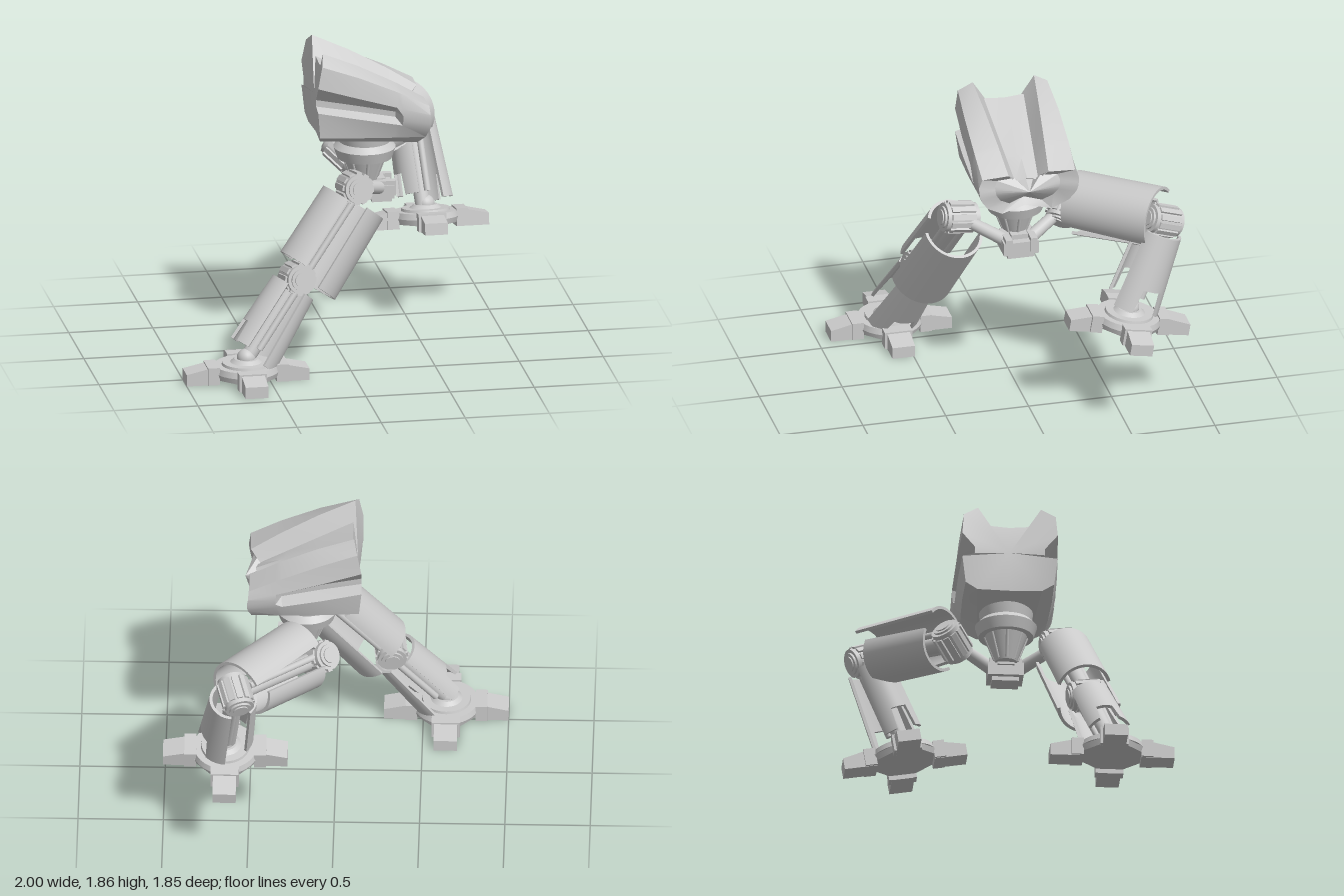
import * as THREE from 'three';
import { toCreasedNormals } from 'three/addons/utils/BufferGeometryUtils.js';

const V = (x, y, z) => new THREE.Vector3(x, y, z);
const material = new THREE.MeshStandardMaterial({ color: 0xcccccc, side: THREE.DoubleSide });

function add(parent, name, geometry, x = 0, y = 0, z = 0) {
  const mesh = new THREE.Mesh(geometry, material);
  mesh.name = name;
  mesh.position.set(x, y, z);
  parent.add(mesh);
  return mesh;
}

// Skin closed rings of points, with a fan at each end
function loft(rings, startTip, endTip) {
  const pos = [];
  const tri = (...pts) => pts.forEach(p => pos.push(p.x, p.y, p.z));
  const n = rings[0].length;
  const middle = ring => ring.reduce((s, p) => s.add(p), V(0, 0, 0)).divideScalar(n);
  const first = rings[0], last = rings[rings.length - 1];
  const a = startTip || middle(first), b = endTip || middle(last);
  for (let j = 0; j < n; j++) {
    const k = (j + 1) % n;
    for (let s = 0; s < rings.length - 1; s++) {
      const r = rings[s], q = rings[s + 1];
      tri(r[j], r[k], q[k]);
      tri(r[j], q[k], q[j]);
    }
    tri(a, first[k], first[j]);
    tri(b, last[j], last[k]);
  }
  const g = new THREE.BufferGeometry();
  g.setAttribute('position', new THREE.Float32BufferAttribute(pos, 3));
  return toCreasedNormals(g, 0.5);
}

function rod(parent, name, from, to, r0, r1 = r0) {
  const d = to.clone().sub(from);
  const mesh = add(parent, name, new THREE.CylinderGeometry(r1, r0, d.length(), 20));
  mesh.position.copy(from).addScaledVector(d, 0.5);
  mesh.quaternion.setFromUnitVectors(V(0, 1, 0), d.normalize());
}

// Curved armour plate around the local y axis, with an optional notch in its lower edge
function shell(parent, name, { side, off, r0, r1, arc, top, bottom, notch = 0, notchArc = 0.5 }) {
  const rings = [], thick = 0.018;
  const angles = Array.from({ length: 25 }, (_, i) => -arc + (2 * arc * i) / 24);
  for (const a of angles) {
    const low = bottom - (Math.abs(a) < notchArc ? notch : 0);
    const rLow = r0 + (r1 - r0) * (low - top) / (bottom - top);
    const at = (r, y) => V(off + r * Math.cos(a), -y, r * Math.sin(a));
    rings.push([at(r0 - thick, top), at(rLow - thick, low), at(rLow, low), at(r0, top)]);
  }
  const mesh = add(parent, name, loft(rings));
  if (side < 0) mesh.rotation.y = Math.PI;
  return mesh;
}

// Ribbed drum joint with stepped end caps, axis along local z
function joint(parent, name) {
  const g = new THREE.Group();
  g.name = name;
  const disc = (part, r, len) => add(g, part, new THREE.CylinderGeometry(r, r, len, 28)).rotation.x = Math.PI / 2;
  disc('drum', 0.085, 0.2);
  disc('endCap', 0.065, 0.225);
  disc('axle', 0.045, 0.24);
  for (let i = 0; i < 12; i++) {
    const a = (i * Math.PI) / 6;
    const rib = add(g, 'rib', new THREE.BoxGeometry(0.02, 0.032, 0.15), 0.086 * Math.cos(a), 0.086 * Math.sin(a), 0);
    rib.rotation.z = a;
  }
  parent.add(g);
}

// Group at the start of a bone: local -y runs along it, local +x faces the front plate
function bone(parent, name, from, to, facing) {
  const up = from.clone().sub(to).normalize();
  const x = facing.clone().addScaledVector(up, -facing.dot(up)).normalize();
  const g = new THREE.Group();
  g.name = name;
  g.position.copy(from);
  g.quaternion.setFromRotationMatrix(new THREE.Matrix4().makeBasis(x, up, x.clone().cross(up)));
  parent.add(g);
  const len = from.distanceTo(to);
  rod(g, 'mainStrut', V(0, 0, 0), V(0, -len, 0), 0.05, 0.045);
  for (const s of [-1, 1]) rod(g, 'piston', V(0.02, -0.07, s * 0.06), V(0.02, -len + 0.08, s * 0.05), 0.02);
  joint(g, 'joint');
  return g;
}

function foot(parent, position, tilt) {
  const g = new THREE.Group();
  g.name = 'foot';
  g.position.copy(position);
  g.rotation.x = tilt;
  const plate = add(g, 'footPlate', new THREE.CylinderGeometry(0.2, 0.19, 0.035, 8), 0, 0.045, 0);
  plate.rotation.y = Math.PI / 8;
  add(g, 'footDisc', new THREE.CylinderGeometry(0.185, 0.195, 0.035, 36), 0, 0.08, 0);
  add(g, 'footRing', new THREE.CylinderGeometry(0.14, 0.145, 0.02, 32), 0, 0.103, 0);
  add(g, 'ankleSocket', new THREE.CylinderGeometry(0.07, 0.1, 0.025, 28), 0, 0.12, 0);
  add(g, 'ankleBall', new THREE.SphereGeometry(0.055, 24, 16), 0, 0.135, 0);
  const profile = new THREE.Shape([[0.17, 0], [0.365, 0], [0.365, 0.07], [0.24, 0.098], [0.17, 0.098]]
    .map(p => new THREE.Vector2(...p)));
  for (let i = 0; i < 4; i++) {
    const toe = new THREE.Group();
    toe.name = 'toe';
    toe.rotation.y = (i * Math.PI) / 2;
    add(toe, 'toePad', new THREE.ExtrudeGeometry(profile, { depth: 0.136, bevelEnabled: false }), 0, 0, -0.068);
    add(toe, 'toeKnuckle', new THREE.BoxGeometry(0.07, 0.105, 0.165), 0.205, 0.055, 0);
    g.add(toe);
  }
  parent.add(g);
}

function leg(parent, name, { hip, knee, ankle, thighFacing, shinFacing, sole, tilt, plate }) {
  const g = new THREE.Group();
  g.name = name;
  parent.add(g);
  const thigh = bone(g, 'thigh', hip, knee, thighFacing);
  const front = shell(thigh, 'thighFrontPlate',
    { side: 1, off: plate.off, r0: 0.182, r1: 0.192, arc: 1.5, top: plate.top, bottom: plate.top + 0.55 });
  front.rotation.z = plate.lean;
  front.position.z = plate.shift;
  shell(thigh, 'thighRearPlate', { side: -1, off: 0, r0: 0.16, r1: 0.165, arc: 1.3, top: 0.09, bottom: 0.55 });
  const shin = bone(g, 'shin', knee, ankle, shinFacing);
  shell(shin, 'shinFrontPlate', { side: 1, off: 0.02, r0: 0.13, r1: 0.165, arc: 1.3, top: 0.06, bottom: 0.545, notch: 0.15 });
  shell(shin, 'shinRearPlate', { side: -1, off: 0, r0: 0.13, r1: 0.145, arc: 1.05, top: 0.06, bottom: 0.5, notch: 0.13, notchArc: 0.4 });
  foot(g, sole, tilt);
}

// Angular hull: one half outline [x, y, z] at the rear and one at the nose end, blended between
function torso(parent) {
  const rear = [[-0.1, 1.735, 0], [-0.1, 1.745, 0.12], [-0.11, 1.855, 0.185], [-0.13, 1.8, 0.27], [-0.155, 1.67, 0.28],
    [-0.155, 1.58, 0.28], [-0.155, 1.54, 0.28], [-0.155, 1.52, 0.28], [-0.14, 1.36, 0.26], [-0.13, 1.32, 0.19], [-0.12, 1.32, 0]];
  const front = [[0.47, 1.49, 0], [0.455, 1.47, 0.07], [0.5, 1.535, 0.12], [0.505, 1.53, 0.28], [0.51, 1.48, 0.302],
    [0.515, 1.45, 0.3], [0.515, 1.42, 0.295], [0.51, 1.39, 0.285], [0.49, 1.33, 0.245], [0.46, 1.27, 0.15], [0.42, 1.29, 0]];
  const stations = [[0, 0.075], [0.35, 0.085], [0.7, 0.075], [0.75, 0], [1, 0]]; // position, side groove depth
  const mirrored = half => [...half, ...half.slice(1, -1).reverse().map(p => V(p.x, p.y, -p.z))];
  const rings = stations.map(([t, groove]) => {
    const bulge = Math.sin(Math.PI * t);
    return mirrored(rear.map((p, i) => {
      const v = V(...p).lerp(V(...front[i]), t);
      if (i === 2 || i === 3) v.y += 0.02 * bulge;
      if (i > 2 && i < 9) v.z += 0.01 * bulge;
      if (i === 5 || i === 6) v.z -= groove;
      return v;
    }));
  });
  // Recessed face around a pointed nose
  rings.push(mirrored(front.map(([x, y, z]) => V(x - 0.035, 1.42 + (y - 1.42) * 0.7, z * 0.65))));
  add(parent, 'torso', loft(rings, V(-0.13, 1.56, 0), V(0.53, 1.43, 0)));
}

export function createModel() {
  const model = new THREE.Group();
  model.name = 'walker';
  torso(model);

  // Flared waist and tapered spine
  const waist = [[0, 1.34], [0.168, 1.34], [0.15, 1.25], [0.183, 1.215], [0.162, 1.15], [0.125, 1.15], [0.065, 0.99], [0, 0.99]]
    .map(p => new THREE.Vector2(...p)).reverse();
  add(model, 'waist', toCreasedNormals(new THREE.LatheGeometry(waist, 40), 0.4), 0.17, 0, 0);
  for (let i = 0; i < 8; i++) {
    const a = (i * Math.PI) / 4;
    rod(model, 'waistRib', V(0.17 + 0.122 * Math.cos(a), 1.15, 0.122 * Math.sin(a)),
      V(0.17 + 0.065 * Math.cos(a), 1, 0.065 * Math.sin(a)), 0.01);
  }

  // Pelvis block with clamps
  add(model, 'pelvis', new THREE.BoxGeometry(0.16, 0.08, 0.21), 0.25, 0.955, 0);
  add(model, 'pelvisTop', new THREE.BoxGeometry(0.13, 0.05, 0.1), 0.22, 1.0, 0);
  add(model, 'pelvisKeel', new THREE.BoxGeometry(0.12, 0.03, 0.16), 0.26, 0.905, 0);
  for (const s of [-1, 1]) add(model, 'pelvisClamp', new THREE.BoxGeometry(0.17, 0.09, 0.04), 0.255, 0.975, s * 0.075);

  const legs = {
    frontLeg: {
      hip: V(0.055, 1.065, 0.31), knee: V(-0.31, 0.57, 0.44), ankle: V(-0.63, 0.13, 0.555),
      thighFacing: V(0.8, -0.6, 0), shinFacing: V(0.8, -0.6, 0), sole: V(-0.635, 0, 0.56), tilt: 0,
      plate: { off: 0.055, top: 0.07, lean: 0.01, shift: 0.02 }
    },
    raisedLeg: {
      hip: V(0.1, 1.08, -0.32), knee: V(0.57, 1.165, -0.79), ankle: V(0.62, 0.64, -0.57),
      thighFacing: V(0.4, 0.82, 0.4), shinFacing: V(0.95, 0, -0.3), sole: V(0.635, 0.515, -0.555), tilt: -0.165,
      plate: { off: 0.1, top: 0.09, lean: -0.14, shift: 0 }
    }
  };
  for (const [name, spec] of Object.entries(legs)) {
    leg(model, name, spec);
    const s = Math.sign(spec.hip.z);
    rod(model, 'hipArm', V(0.24, 0.98, s * 0.08), spec.hip, 0.04, 0.035);
  }
  return model;
}
